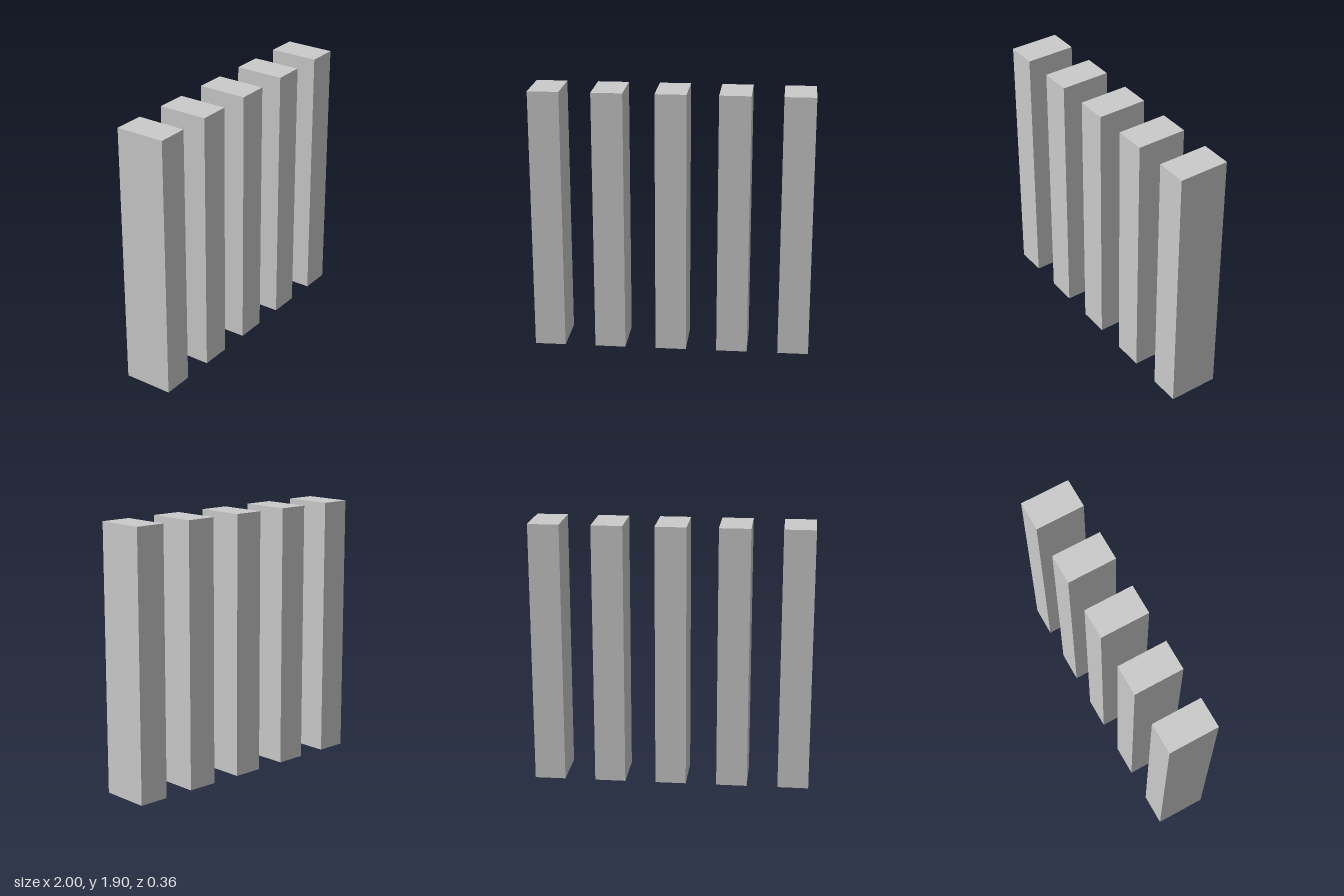
import * as THREE from 'three';

const COUNT = 5;
const WIDTH = 2 / 9; // gaps are as wide as the slats
const HEIGHT = 1.9;
const DEPTH = 0.36;

export function createModel() {
  const model = new THREE.Group();
  model.name = 'slatScreen';

  const material = new THREE.MeshStandardMaterial({ color: 0xcccccc });
  const geometry = new THREE.BoxGeometry(WIDTH, HEIGHT, DEPTH);

  // Row of evenly spaced upright slats
  for (let i = 0; i < COUNT; i++) {
    const slat = new THREE.Mesh(geometry, material);
    slat.name = `slat${i + 1}`;
    slat.position.set((i - (COUNT - 1) / 2) * WIDTH * 2, HEIGHT / 2, 0);
    model.add(slat);
  }
  return model;
}
